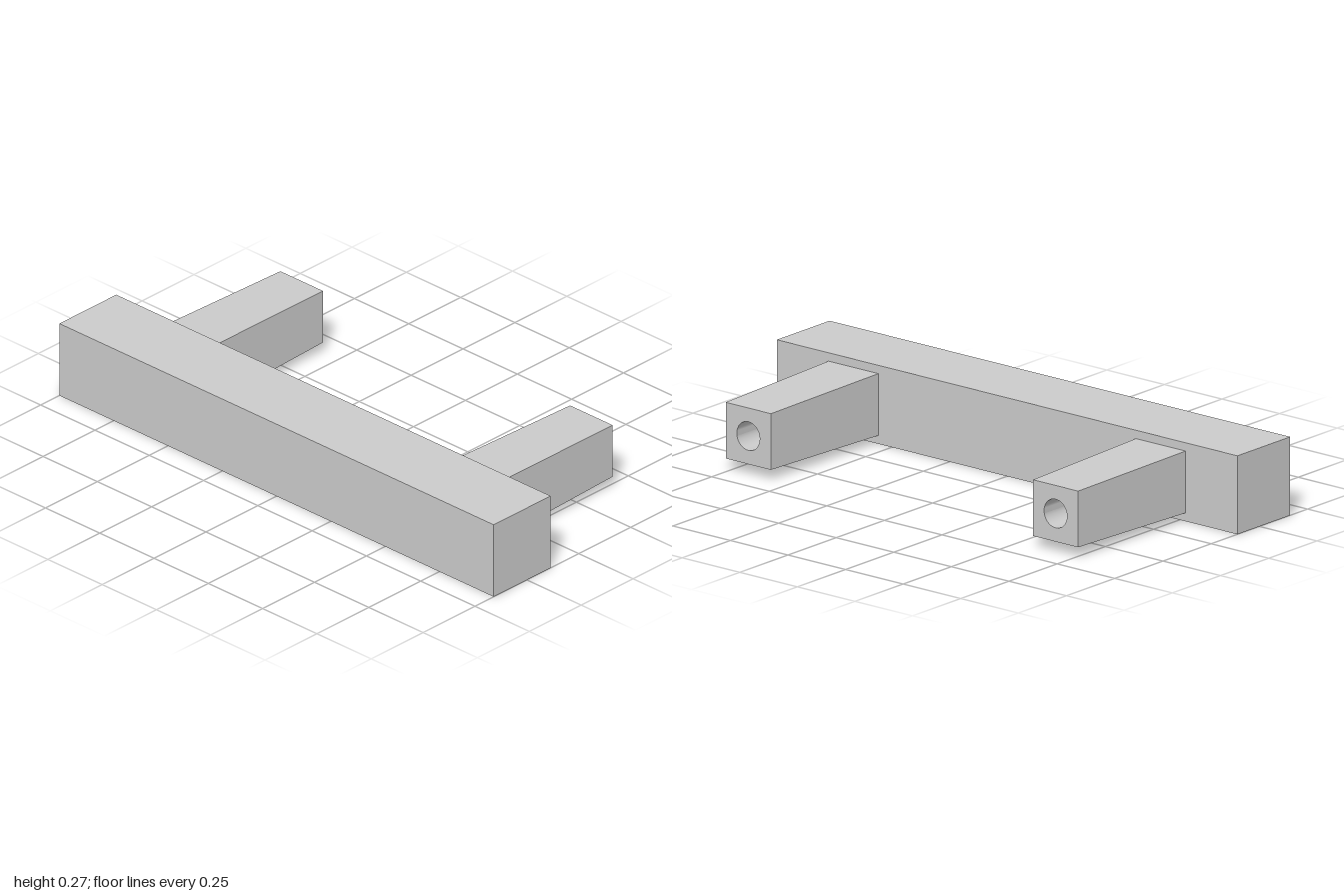
import * as THREE from 'three';
import { toCreasedNormals } from 'three/addons/utils/BufferGeometryUtils.js';

const BAR = 0.274;      // square section of the grip
const BACK = -0.409;    // mounting plane
const JOINT = 0.136;    // where the posts meet the grip
const TIP = 0.098;      // half width of a post at the mounting plane
const ROOT = 0.108;     // half width of a post at the grip
const HOLE = 0.05;      // screw hole radius

// Square post with a straight screw hole, its outside widening toward the grip
function postGeometry() {
  const shape = new THREE.Shape();
  shape.moveTo(-TIP, -TIP);
  shape.lineTo(TIP, -TIP);
  shape.lineTo(TIP, TIP);
  shape.lineTo(-TIP, TIP);
  shape.closePath();
  const hole = new THREE.Path();
  hole.absarc(0, 0, HOLE, 0, Math.PI * 2, true);
  shape.holes.push(hole);

  const depth = JOINT - BACK;
  const geo = new THREE.ExtrudeGeometry(shape, { depth, bevelEnabled: false, curveSegments: 16 });
  const pos = geo.attributes.position;
  for (let i = 0; i < pos.count; i++) {
    const x = pos.getX(i), y = pos.getY(i);
    if (Math.hypot(x, y) < HOLE * 1.2) continue; // keep the hole cylindrical
    const s = THREE.MathUtils.lerp(1, ROOT / TIP, pos.getZ(i) / depth);
    pos.setXY(i, x * s, y * s);
  }
  return toCreasedNormals(geo, Math.PI / 6);
}

export function createModel() {
  const group = new THREE.Group();
  group.name = 'drawerHandle';
  const material = new THREE.MeshStandardMaterial({ color: 0xcccccc });

  // Grip bar
  const grip = new THREE.Mesh(new THREE.BoxGeometry(2, BAR, BAR), material);
  grip.name = 'gripBar';
  grip.position.set(0, BAR / 2, JOINT + BAR / 2);
  group.add(grip);

  // Mounting posts
  const geo = postGeometry();
  for (const [name, side] of [['leftPost', 1], ['rightPost', -1]]) {
    const post = new THREE.Mesh(geo, material);
    post.name = name;
    post.position.set(side * 0.667, BAR / 2, BACK);
    group.add(post);
  }
  return group;
}
